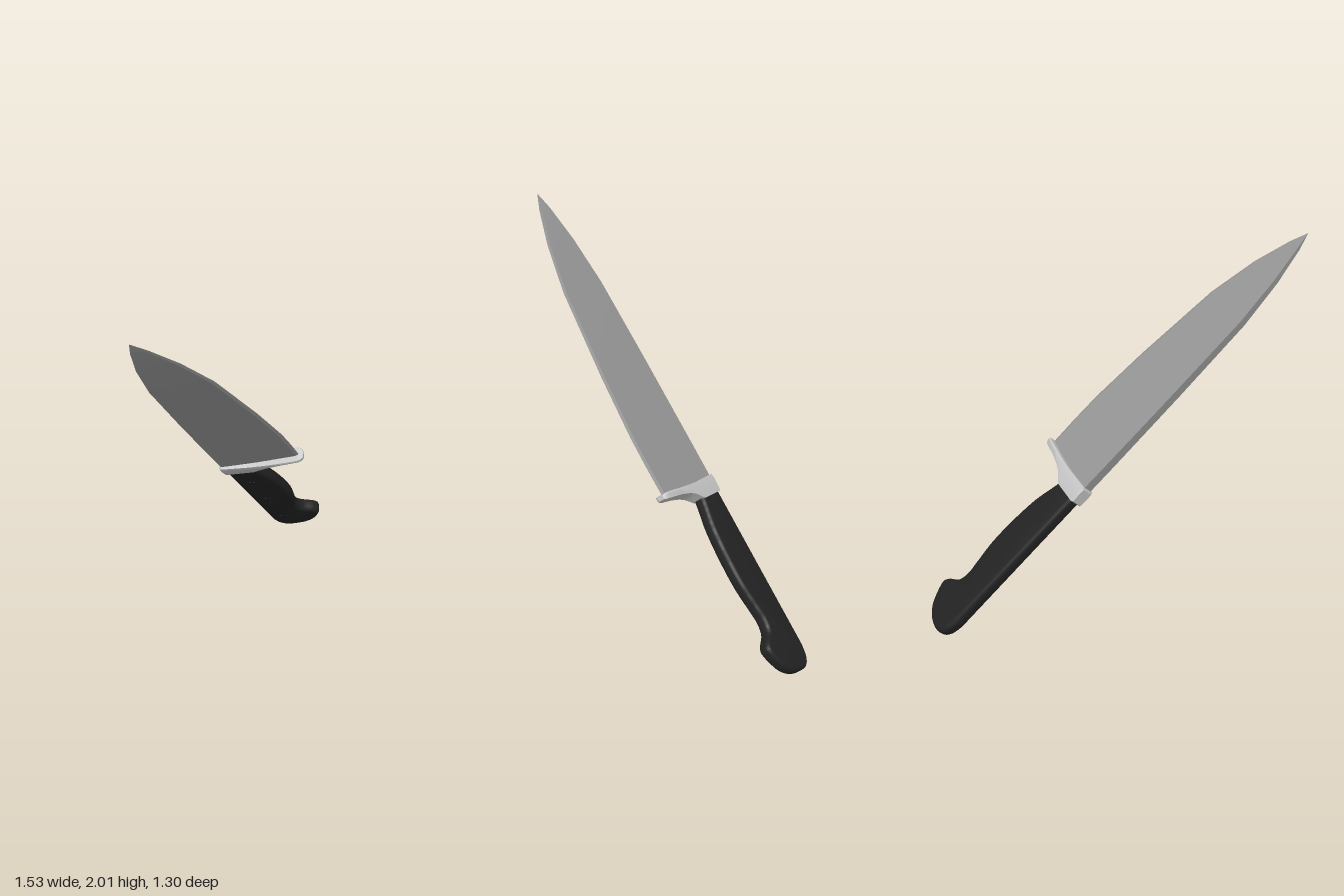
import * as THREE from 'three';
import { toCreasedNormals } from 'three/addons/utils/BufferGeometryUtils.js';

const steel = new THREE.MeshStandardMaterial({ name: 'blade steel', color: 0x969696 });
const brightSteel = new THREE.MeshStandardMaterial({ name: 'bright bolster steel', color: 0xc4c4c4 });
const black = new THREE.MeshStandardMaterial({ name: 'black handle', color: 0x222222 });

// Joins closed cross-sections (equal point counts) and caps both ends.
function loft(rings, crease) {
  const n = rings[0].length;
  const index = [];
  for (let i = 0; i < rings.length - 1; i++) {
    for (let j = 0; j < n; j++) {
      const k = (j + 1) % n;
      const a = i * n + j, b = i * n + k, c = b + n, d = a + n;
      index.push(a, b, c, a, c, d);
    }
  }
  const last = (rings.length - 1) * n;
  for (let j = 1; j < n - 1; j++) {
    index.push(0, j + 1, j, last, last + j, last + j + 1);
  }
  const geometry = new THREE.BufferGeometry();
  geometry.setAttribute('position', new THREE.Float32BufferAttribute(rings.flat(2), 3));
  geometry.setIndex(index);
  return toCreasedNormals(geometry, crease);
}

function addMesh(group, name, geometry, material) {
  const mesh = new THREE.Mesh(geometry, material);
  mesh.name = name;
  group.add(mesh);
  return mesh;
}

// Wedge-shaped blade: thick spine, thin ground edge, tapering to the tip.
function bladeGeometry() {
  // along, spine, edge, half thickness of the spine
  const stations = [
    [-0.30, -0.138, 0.282, 0.024],
    [-0.12, -0.140, 0.284, 0.024],
    [0.053, -0.141, 0.280, 0.023],
    [0.381, -0.142, 0.248, 0.022],
    [0.858, -0.138, 0.180, 0.019],
    [1.119, -0.110, 0.101, 0.015],
    [1.311, -0.070, 0.013, 0.009],
    [1.400, -0.044, -0.042, 0.001],
  ];
  return loft(stations.map(([y, spine, edge, h]) => {
    const bevel = edge - Math.min(0.016, (edge - spine) * 0.3);
    const t = h * 0.35;
    return [[spine, y, h], [bevel, y, t], [edge, y, 0], [bevel, y, -t], [spine, y, -h]];
  }), 0.12);
}

// Bolster: a collar around the handle sweeping out into a finger guard.
function bolsterGeometry() {
  // across, blade side, handle side, half thickness at flange and at collar
  const stations = [
    [-0.150, -0.292, -0.372, 0.034, 0.030],
    [-0.140, -0.282, -0.378, 0.042, 0.037],
    [0.010, -0.284, -0.378, 0.045, 0.037],
    [0.035, -0.284, -0.362, 0.045, 0.038],
    [0.070, -0.282, -0.338, 0.045, 0.040],
    [0.110, -0.280, -0.323, 0.045, 0.040],
    [0.180, -0.274, -0.309, 0.044, 0.038],
    [0.270, -0.266, -0.299, 0.041, 0.034],
    [0.292, -0.265, -0.296, 0.034, 0.027],
    [0.304, -0.271, -0.290, 0.020, 0.016],
  ];
  return loft(stations.map(([x, top, low, flange, collar]) => {
    const mid = top - (top - low) * 0.3;
    return [
      [x, top, -flange * 0.9], [x, top, flange * 0.9], [x, mid, flange],
      [x, low, collar], [x, low, -collar], [x, mid, -flange],
    ];
  }), 0.6);
}

// Handle: contoured outline with rounded edges and a hooked butt.
function handleGeometry() {
  const shape = new THREE.Shape();
  shape.moveTo(0.018, -0.36);
  shape.lineTo(-0.133, -0.36);
  shape.lineTo(-0.127, -1.26);
  shape.splineThru([
    [-0.108, -1.325], [-0.062, -1.364], [0.02, -1.358], [0.085, -1.322],
    [0.125, -1.27], [0.156, -1.195], [0.138, -1.155], [0.08, -1.11],
    [0.062, -1.05], [0.07, -0.98], [0.088, -0.84], [0.084, -0.68],
    [0.066, -0.53], [0.035, -0.42], [0.018, -0.36],
  ].map(([x, y]) => new THREE.Vector2(x, y)));
  const geometry = new THREE.ExtrudeGeometry(shape, {
    depth: 0.026, bevelEnabled: true, bevelThickness: 0.022, bevelSize: 0.022,
    bevelOffset: -0.022, bevelSegments: 4, curveSegments: 40,
  });
  geometry.translate(0, 0, -0.013);
  return toCreasedNormals(geometry, 0.7);
}

export function createModel() {
  const model = new THREE.Group();
  model.name = 'kitchenKnife';

  // Built upright: +y to the tip, +x to the cutting edge, z across the thickness.
  const knife = new THREE.Group();
  knife.name = 'knife';
  model.add(knife);

  addMesh(knife, 'blade', bladeGeometry(), steel);
  addMesh(knife, 'bolster', bolsterGeometry(), brightSteel);
  addMesh(knife, 'handle', handleGeometry(), black);

  // Three rivets through the handle
  [-0.564, -0.872, -1.207].forEach((y, i) => {
    const rivet = addMesh(knife, `rivet${i + 1}`, new THREE.CylinderGeometry(0.029, 0.029, 0.074, 20), black);
    rivet.rotation.x = Math.PI / 2;
    rivet.position.set(-0.053, y, 0);
  });

  // Tilt the knife into its resting pose
  const along = new THREE.Vector3(-0.519, 0.722, 0.457).normalize();
  const facing = new THREE.Vector3(-0.30, -0.655, 0.69);
  const across = new THREE.Vector3().crossVectors(along, facing).normalize();
  facing.crossVectors(across, along);
  knife.quaternion.setFromRotationMatrix(new THREE.Matrix4().makeBasis(across, along, facing));
  knife.position.set(0, 1, 0.03);
  return model;
}
